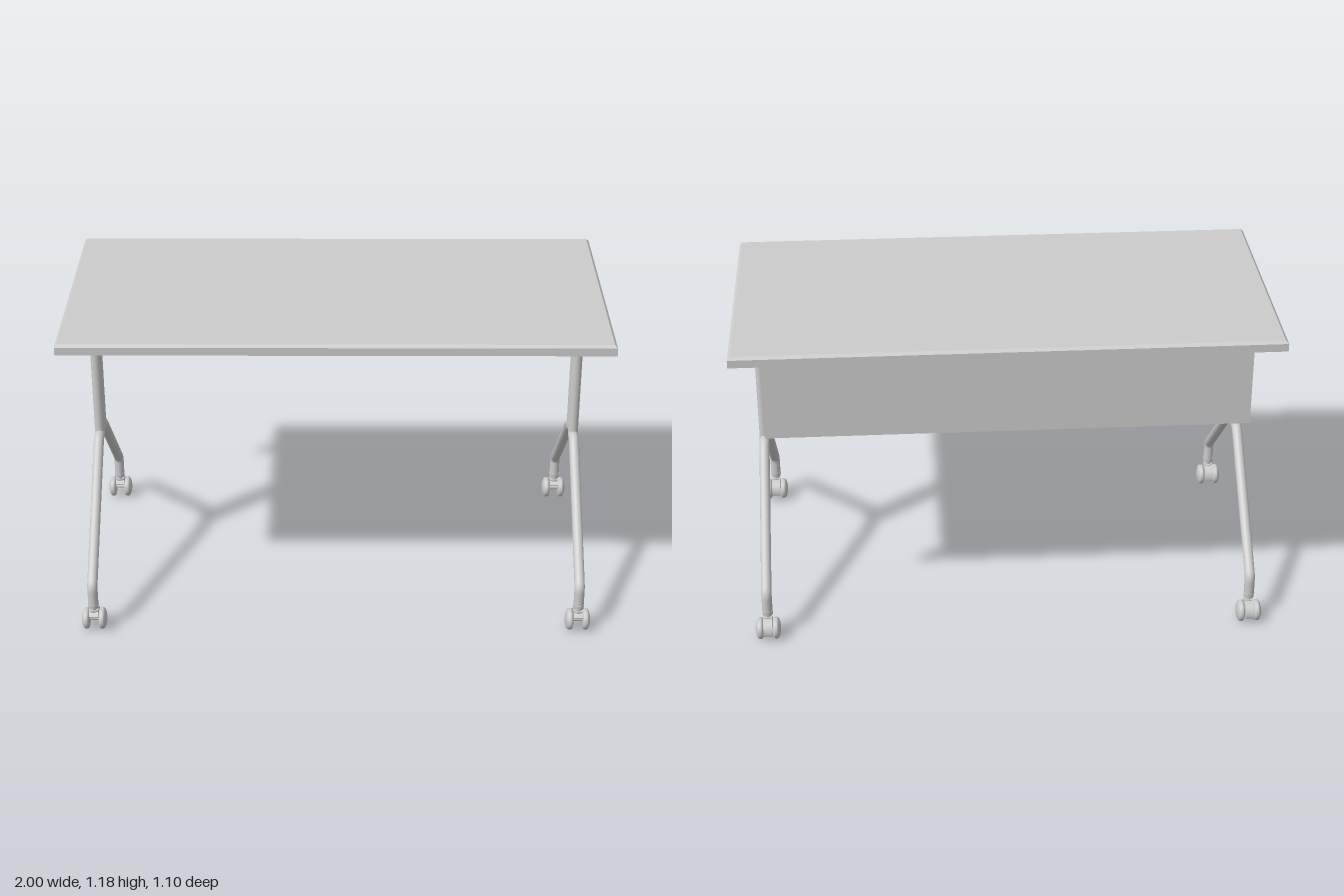
import * as THREE from 'three';

const mat = new THREE.MeshStandardMaterial({ color: 0xcccccc });
const LEG_X = 0.917, MID_Z = 0.015, TUBE_R = 0.0195;

function add(parent, name, geometry, x = 0, y = 0, z = 0) {
  const mesh = new THREE.Mesh(geometry, mat);
  mesh.name = name;
  mesh.position.set(x, y, z);
  parent.add(mesh);
  return mesh;
}

// Slab whose upper rim is chamfered inward
function chamferedSlab(w, h, d, c) {
  const g = new THREE.BoxGeometry(w, h, d, 1, 2, 1).toNonIndexed();
  const p = g.attributes.position;
  for (let i = 0; i < p.count; i++) {
    if (p.getY(i) > h / 4) {
      p.setX(i, p.getX(i) - Math.sign(p.getX(i)) * c);
      p.setZ(i, p.getZ(i) - Math.sign(p.getZ(i)) * c);
    } else if (p.getY(i) > -h / 4) p.setY(i, h / 2 - c);
  }
  g.computeVertexNormals();
  return g;
}

// Straight runs joined by rounded corners; points are [z, y], measured from MID_Z
function bentPath(points, side, bend) {
  const v = points.map(([z, y]) => new THREE.Vector3(0, y, MID_Z + side * z));
  const path = new THREE.CurvePath();
  let from = v[0];
  for (let i = 1; i < v.length - 1; i++) {
    const a = v[i].clone().add(v[i - 1].clone().sub(v[i]).setLength(bend));
    const b = v[i].clone().add(v[i + 1].clone().sub(v[i]).setLength(bend));
    path.add(new THREE.LineCurve3(from, a));
    path.add(new THREE.QuadraticBezierCurve3(a, v[i], b));
    from = b;
  }
  path.add(new THREE.LineCurve3(from, v[v.length - 1]));
  return path;
}

// Wheel profile: flat inner face, narrow tread, domed outer face
const wheelProfile = [[0, 0], [0.032, 0], [0.039, 0.003], [0.041, 0.008], [0.041, 0.016],
  [0.038, 0.021], [0.028, 0.026], [0.014, 0.029], [0, 0.03]].map(([r, y]) => new THREE.Vector2(r, y));

function makeCaster(legZ) {
  const caster = new THREE.Group();
  caster.name = 'caster';
  const wheelZ = -0.012;
  for (const s of [-1, 1]) {
    const wheel = add(caster, 'wheel', new THREE.LatheGeometry(wheelProfile, 32), s * 0.018, 0.041, wheelZ);
    wheel.rotation.z = -s * Math.PI / 2;
  }
  // Axle and the curved hood between the wheels
  add(caster, 'axle', new THREE.CylinderGeometry(0.008, 0.008, 0.04, 16), 0, 0.041, wheelZ).rotation.z = Math.PI / 2;
  const hoodShape = new THREE.Shape();
  hoodShape.absarc(0, 0, 0.044, -0.3, Math.PI * 0.8, false);
  hoodShape.absarc(0, 0, 0.03, Math.PI * 0.8, -0.3, true);
  const hood = new THREE.ExtrudeGeometry(hoodShape, { depth: 0.034, bevelEnabled: false, curveSegments: 20 });
  hood.translate(0, 0, -0.017).rotateY(Math.PI / 2);
  add(caster, 'hood', hood, 0, 0.041, wheelZ);
  // Swivel plate, stem and collar
  add(caster, 'swivelPlate', new THREE.CylinderGeometry(0.019, 0.017, 0.006, 24), 0, 0.085, 0);
  add(caster, 'stem', new THREE.CylinderGeometry(0.011, 0.011, 0.03, 16), 0, 0.093, 0);
  add(caster, 'collar', new THREE.CylinderGeometry(0.021, 0.019, 0.018, 24), 0, 0.106, 0);
  caster.position.z = legZ;
  return caster;
}

function makeLegFrame(x) {
  const frame = new THREE.Group();
  frame.name = 'legFrame';
  const points = [[0.026, 1.14], [0.026, 0.584], [0.066, 0.59], [0.51, 0.187], [0.51, 0.1]];
  for (const side of [-1, 1]) {
    const path = bentPath(points, side, 0.018);
    add(frame, 'legTube', new THREE.TubeGeometry(path, 140, TUBE_R, 20, false));
    // Caps closing the tube ends
    const top = add(frame, 'tubeCap', new THREE.CircleGeometry(TUBE_R, 20), 0, 1.14, MID_Z + side * 0.026);
    top.rotation.x = -Math.PI / 2;
    frame.add(makeCaster(MID_Z + side * 0.51));
  }
  frame.position.x = x;
  return frame;
}

export function createModel() {
  const table = new THREE.Group();
  table.name = 'foldingTable';
  add(table, 'tableTop', chamferedSlab(2, 0.04, 0.996, 0.01), 0, 1.165, 0.01);
  add(table, 'modestyPanel', new THREE.BoxGeometry(1.776, 0.32, 0.012), 0, 0.985, -0.428);
  for (const s of [-1, 1]) table.add(makeLegFrame(s * LEG_X));
  return table;
}
